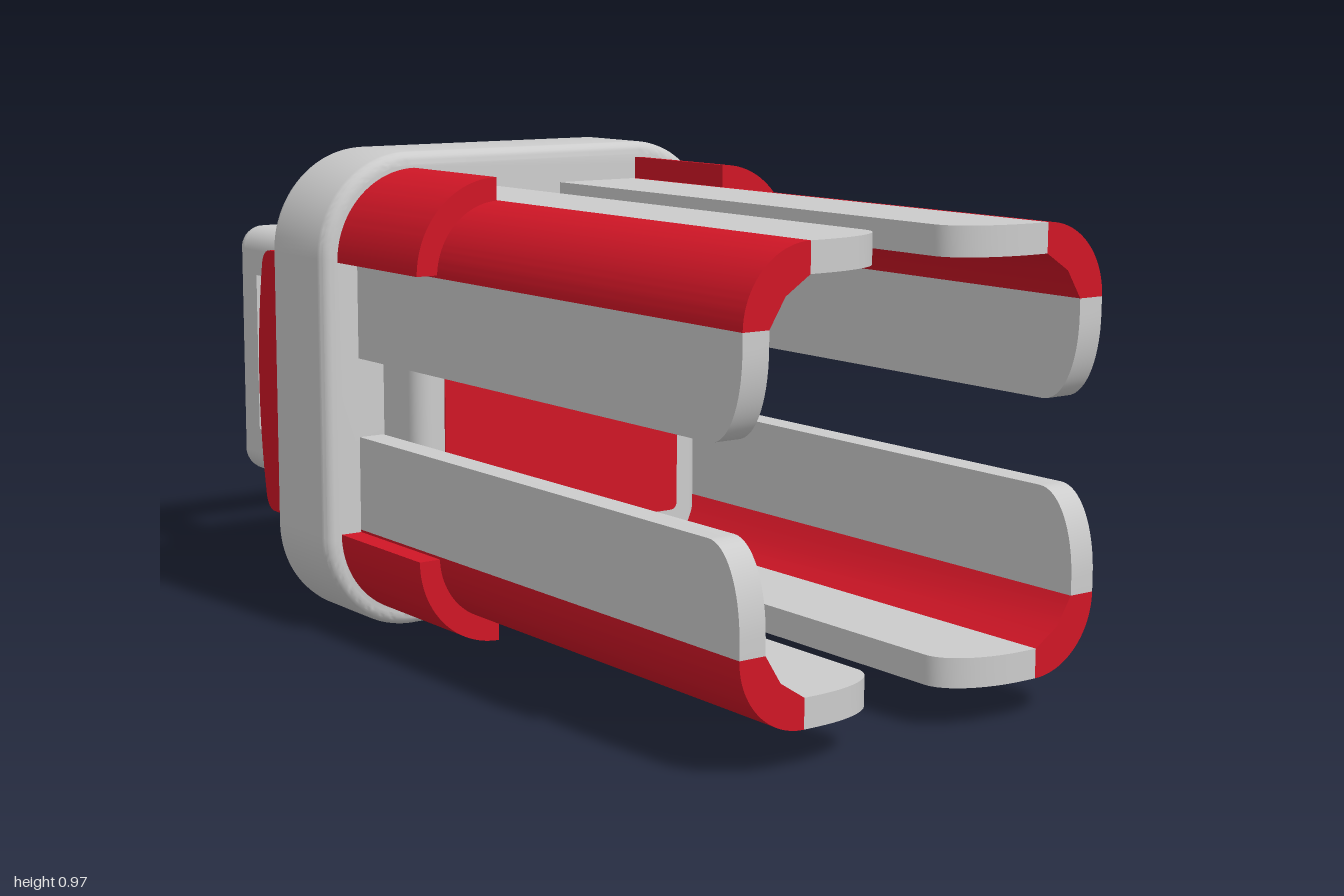
import * as THREE from 'three';
import { toCreasedNormals } from 'three/addons/utils/BufferGeometryUtils.js';
import { RoundedBoxGeometry } from 'three/addons/geometries/RoundedBoxGeometry.js';

const grey = new THREE.MeshStandardMaterial({ color: 0xcccccc });
const red = new THREE.MeshStandardMaterial({ color: 0xd01626 });
const HALF_PI = Math.PI / 2;

function add(parent, name, geometry, material) {
  const mesh = new THREE.Mesh(geometry, material);
  mesh.name = name;
  parent.add(mesh);
  return mesh;
}

function extrude(shape, depth, bevel = 0) {
  const g = new THREE.ExtrudeGeometry(shape, {
    depth: depth - 2 * bevel, curveSegments: 16, bevelEnabled: bevel > 0,
    bevelSize: bevel, bevelThickness: bevel, bevelOffset: -bevel, bevelSegments: 5,
  });
  return toCreasedNormals(g.translate(0, 0, bevel), 0.6);
}

// Extrudes a shape drawn in x and z downwards from height top
const slab = (shape, thickness, top) =>
  extrude(shape, thickness).rotateX(HALF_PI).translate(0, top, 0);

function roundedSquare(h, r) {
  const s = new THREE.Shape();
  s.absarc(h - r, h - r, r, 0, HALF_PI);
  s.absarc(r - h, h - r, r, HALF_PI, Math.PI);
  s.absarc(r - h, r - h, r, Math.PI, 3 * HALF_PI);
  s.absarc(h - r, r - h, r, 3 * HALF_PI, 2 * Math.PI);
  s.closePath();
  return s;
}

// Flat prong arm with an elliptical tip; side is 1 or -1
function armGeometry(side) {
  const s = new THREE.Shape();
  s.moveTo(0.27 * side, -0.23);
  s.lineTo(0.27 * side, 1);
  s.lineTo(0.24 * side, 1);
  s.bezierCurveTo(0.15 * side, 1, 0.08 * side, 0.965, 0.08 * side, 0.915);
  s.lineTo(0.08 * side, -0.23);
  s.closePath();
  return slab(s, 0.055, 0.41);
}

// Curved corner strip between the two arms of a prong
function cornerGeometry() {
  const s = new THREE.Shape();
  s.moveTo(0.355, 0.27);
  s.lineTo(0.41, 0.27);
  s.absarc(0.27, 0.27, 0.14, 0, HALF_PI);
  s.lineTo(0.27, 0.355);
  s.lineTo(0.322, 0.322);
  s.closePath();
  return extrude(s, 1.23).translate(0, 0, -0.23);
}

// Short sleeve hugging the base of a prong
function sleeveGeometry() {
  const s = new THREE.Shape();
  s.moveTo(0.4, 0.275);
  s.lineTo(0.455, 0.275);
  s.absarc(0.275, 0.275, 0.18, 0, HALF_PI);
  s.lineTo(0.275, 0.4);
  s.absarc(0.275, 0.275, 0.125, HALF_PI, 0, true);
  s.closePath();
  return extrude(s, 0.31).translate(0, 0, -0.23);
}

// Bowed fin standing on the back of the plate
function finGeometry() {
  const s = new THREE.Shape();
  s.moveTo(0.275, -0.43);
  s.lineTo(0.275, -0.505);
  s.quadraticCurveTo(0.272, -0.53, 0.245, -0.536);
  s.quadraticCurveTo(0, -0.582, -0.245, -0.536);
  s.quadraticCurveTo(-0.272, -0.53, -0.275, -0.505);
  s.lineTo(-0.275, -0.43);
  s.closePath();
  return slab(s, 0.05, 0.455);
}

// Open cube with rounded edges and coloured strips inside its windows
function createCage() {
  const cage = new THREE.Group();
  cage.name = 'cage';
  const outer = 0.28, hole = 0.175, r = 0.05, core = outer - r;

  const faceShape = roundedSquare(core, 0.001);
  const window = new THREE.Path();
  window.moveTo(-hole, -hole).lineTo(-hole, hole).lineTo(hole, hole).lineTo(hole, -hole).closePath();
  faceShape.holes.push(window);
  const faceGeo = extrude(faceShape, outer - hole).translate(0, 0, hole);
  const stripGeo = new RoundedBoxGeometry(0.28, 0.03, 0.06, 2, 0.008);
  const edgeGeo = new THREE.CapsuleGeometry(r, 2 * core, 6, 20);

  const turns = [[0, 0], [0, 1], [0, 2], [0, 3], [1, 0], [-1, 0]];
  for (const [tx, ty] of turns) {
    const face = new THREE.Group();
    face.name = 'cageFace';
    face.rotation.set(tx * HALF_PI, ty * HALF_PI, 0);
    add(face, 'cageWindowFrame', faceGeo, grey);
    for (let i = 0; i < 4; i++) {
      const a = i * HALF_PI;
      const strip = add(face, 'windowStrip', stripGeo, red);
      strip.rotation.z = a;
      strip.position.set(-Math.sin(a) * hole, Math.cos(a) * hole, 0.225);
    }
    cage.add(face);
  }

  // Rounded edges along all three axes
  for (const a of [-core, core]) {
    for (const b of [-core, core]) {
      add(cage, 'cageEdge', edgeGeo, grey).position.set(a, 0, b);
      const ex = add(cage, 'cageEdge', edgeGeo, grey);
      ex.rotation.z = HALF_PI;
      ex.position.set(0, a, b);
      const ez = add(cage, 'cageEdge', edgeGeo, grey);
      ez.rotation.x = HALF_PI;
      ez.position.set(a, b, 0);
    }
  }
  return cage;
}

export function createModel() {
  const model = new THREE.Group();
  model.name = 'prongedConnector';
  const body = new THREE.Group();
  body.name = 'body';
  body.position.y = 0.487;
  model.add(body);

  // Base plate
  add(body, 'basePlate', extrude(roundedSquare(0.487, 0.205), 0.22, 0.025).translate(0, 0, -0.44), grey);

  // Central block with its coloured front panel
  add(body, 'centreBlock', new RoundedBoxGeometry(0.705, 0.705, 0.2, 4, 0.035), grey).position.z = -0.19;
  add(body, 'frontPanel', extrude(roundedSquare(0.29, 0.015), 0.02).translate(0, 0, -0.107), red);

  // Four prongs with sleeves, and four rear fins
  const armA = armGeometry(1);
  const armB = armGeometry(-1).rotateZ(-HALF_PI);
  const corner = cornerGeometry();
  const sleeve = sleeveGeometry();
  const fin = finGeometry();
  for (let i = 0; i < 4; i++) {
    const quarter = new THREE.Group();
    quarter.name = 'prong';
    quarter.rotation.z = i * HALF_PI;
    add(quarter, 'prongArm', armA, grey);
    add(quarter, 'prongArm', armB, grey);
    add(quarter, 'prongCorner', corner, red);
    add(quarter, 'prongSleeve', sleeve, red);
    add(quarter, 'rearFin', fin, red);
    body.add(quarter);
  }

  // Rear cage
  const cage = createCage();
  cage.position.z = -0.72;
  body.add(cage);
  return model;
}
